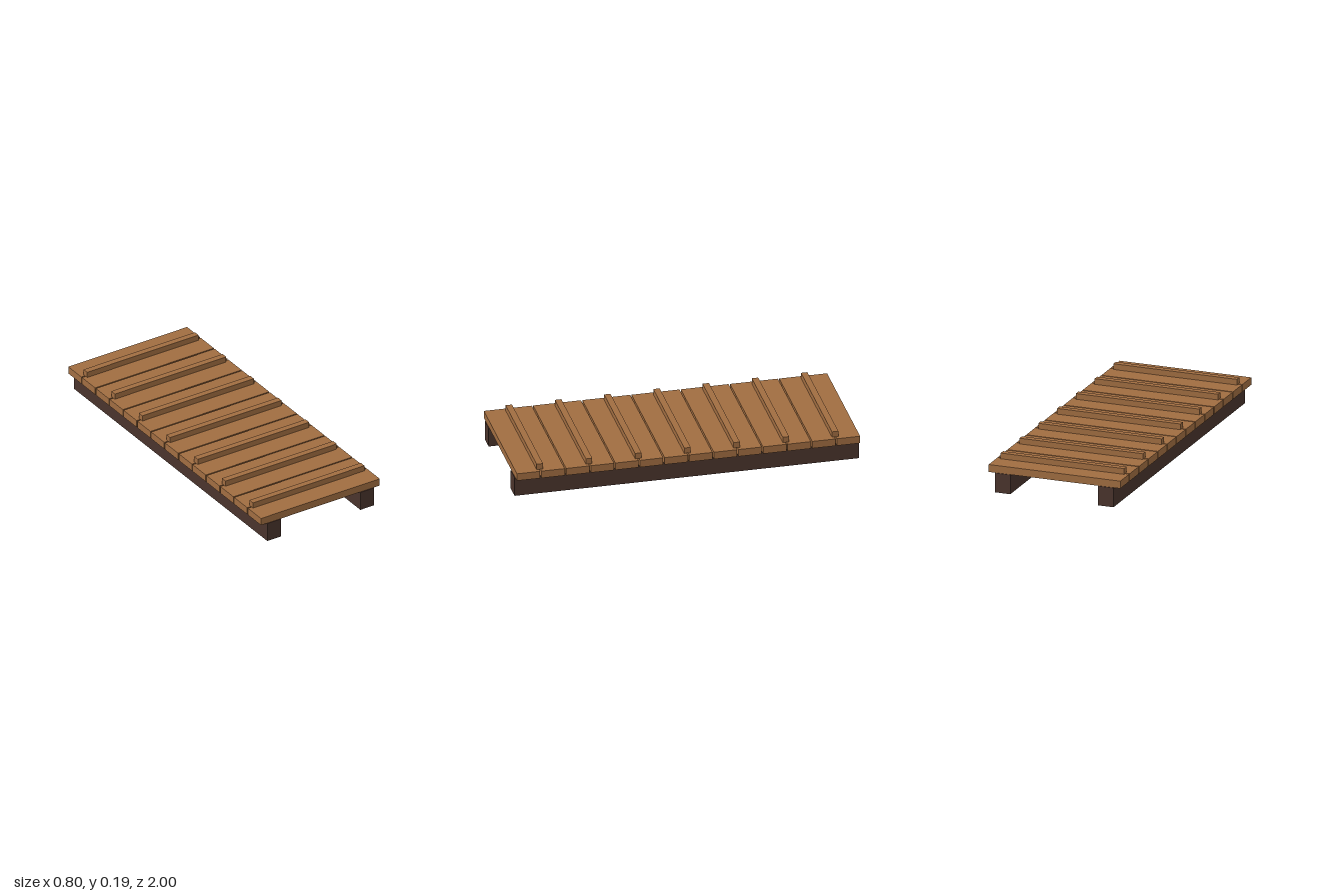
import * as THREE from 'three';

export function createModel() {
  const model = new THREE.Group();
  model.name = 'ramp';

  const plankWood = new THREE.MeshStandardMaterial({ color: 0xa06d41 });
  plankWood.name = 'plank wood';
  const darkWood = new THREE.MeshStandardMaterial({ color: 0x4a342c });
  darkWood.name = 'dark wood';

  // A box resting on height y
  function addBox(name, material, width, height, depth, x, y, z) {
    const mesh = new THREE.Mesh(new THREE.BoxGeometry(width, height, depth), material);
    mesh.name = name;
    mesh.position.set(x, y + height / 2, z);
    model.add(mesh);
  }

  const railHeight = 0.115;
  const plankHeight = 0.044;
  const plankCount = 14;
  const pitch = 2 / plankCount;

  // Two long support rails
  addBox('leftRail', darkWood, 0.093, railHeight, 2, 0.3135, 0, 0);
  addBox('rightRail', darkWood, 0.093, railHeight, 2, -0.3135, 0, 0);

  // Deck planks with narrow gaps between them
  for (let i = 0; i < plankCount; i++) {
    addBox(`plank${i + 1}`, plankWood, 0.8, plankHeight, pitch - 0.008,
      0, railHeight, -1 + (i + 0.5) * pitch);
  }

  // Raised cleats over every second gap
  for (let i = -3; i <= 3; i++) {
    addBox(`cleat${i + 4}`, plankWood, 0.75, 0.034, 0.037,
      0, railHeight + plankHeight, i * 2 * pitch);
  }

  return model;
}
